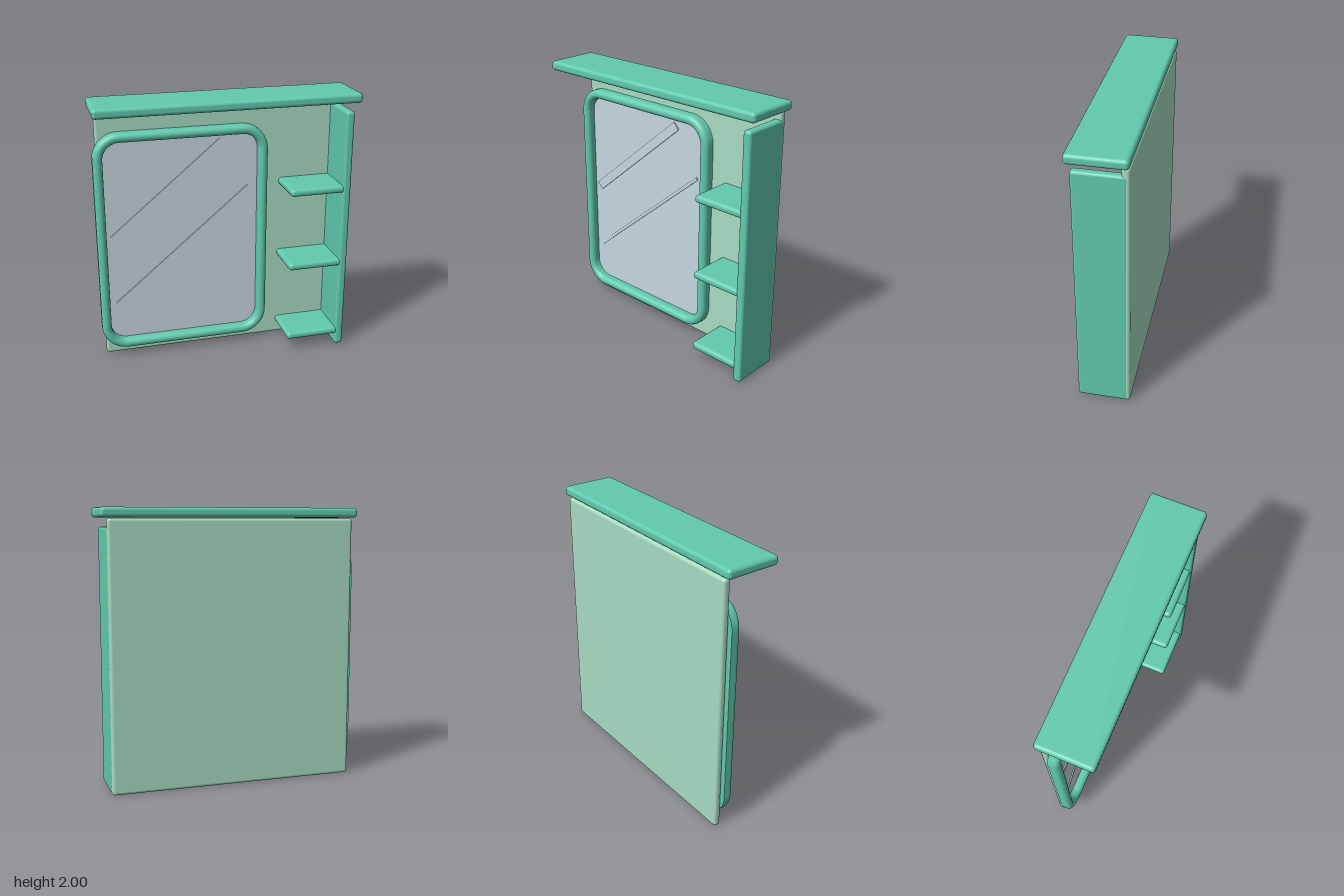
import * as THREE from 'three';
import { RoundedBoxGeometry } from 'three/addons/geometries/RoundedBoxGeometry.js';
import { ParametricGeometry } from 'three/addons/geometries/ParametricGeometry.js';

const material = (name, color) => {
  const m = new THREE.MeshStandardMaterial({ color });
  m.name = name;
  return m;
};

export function createModel() {
  const group = new THREE.Group();
  const green = material('teal green', 0x61caae);
  const pale = material('pale green', 0xa8dbc2);
  const silver = material('mirror grey', 0xc6d6df);

  const add = (name, geometry, mat) => {
    const mesh = new THREE.Mesh(geometry, mat);
    mesh.name = name;
    group.add(mesh);
    return mesh;
  };
  // Soft-edged board given by its limits on each axis
  const board = (name, mat, [x0, x1], [y0, y1], [z0, z1], r) => {
    const mesh = add(name, new RoundedBoxGeometry(x1 - x0, y1 - y0, z1 - z0, 4, r), mat);
    mesh.position.set((x0 + x1) / 2, (y0 + y1) / 2, (z0 + z1) / 2);
  };

  // Boards
  board('backPanel', pale, [-0.905, 0.903], [0, 1.925], [-0.2, -0.145], 0.022);
  board('sidePanel', green, [0.843, 0.905], [0.003, 1.866], [-0.185, 0.175], 0.02);
  board('topShelf', green, [-0.948, 0.948], [1.93, 2], [-0.202, 0.202], 0.025);
  [0.117, 0.701, 1.286].forEach((y, i) =>
    board('shelf' + (i + 1), green, [0.451, 0.865], [y - 0.028, y + 0.028], [-0.165, 0.17], 0.025));

  // Rounded rectangle shared by the mirror and its frame, counterclockwise from the front
  const left = -0.899, right = 0.313, bottom = 0.097, top = 1.718, radius = 0.155;
  const corners = [[right, bottom], [right, top], [left, top], [left, bottom]]
    .map(([x, y]) => new THREE.Vector3(x, y, 0));
  const outline = new THREE.CurvePath();
  const towards = (a, b, d) => a.clone().add(b.clone().sub(a).setLength(d));
  corners.forEach((c, i) => {
    const prev = corners[(i + 3) % 4], next = corners[(i + 1) % 4];
    const handle = radius * (1 - 0.5523);
    const start = towards(c, prev, radius), end = towards(c, next, radius);
    outline.add(new THREE.LineCurve3(towards(prev, c, radius), start));
    outline.add(new THREE.CubicBezierCurve3(start, towards(c, prev, handle), towards(c, next, handle), end));
  });

  // Sweeps a profile, given as [outward offset, z] for v from 0 to 1, around the outline
  const sweep = (profile, steps) => new ParametricGeometry((u, v, target) => {
    const p = outline.getPoint(u), t = outline.getTangent(u);
    const [offset, z] = profile(v);
    target.set(p.x + t.y * offset, p.y - t.x * offset, z);
  }, 240, steps);

  // Frame: straight sides, half-round front and flat back
  const r = 0.035, middle = -0.104, back = -0.146;
  const side = middle - back, length = 2 * side + Math.PI * r;
  add('mirrorFrame', sweep(v => {
    const s = v * length;
    if (s < side) return [r, back + s];
    if (s > length - side) return [-r, back + length - s];
    const a = (s - side) / r;
    return [r * Math.cos(a), middle + r * Math.sin(a)];
  }, 20), green);
  add('mirrorFrameBack', sweep(v => [r * (2 * v - 1), back], 1), green);

  // Mirror glass
  const shape = new THREE.Shape(outline.getSpacedPoints(160).slice(0, -1).map(p => new THREE.Vector2(p.x, p.y)));
  const glass = add('mirrorGlass', new THREE.ExtrudeGeometry(shape, { depth: 0.007, bevelEnabled: false }), silver);
  glass.position.z = -0.1455;

  // Slanted reflection strips on the glass
  [[-0.4, 1.283, 1.075, 0.068], [-0.295, 0.848, 1.335, 0.023]].forEach(([x, y, len, width], i) => {
    const strip = add('reflectionStrip' + (i + 1), new THREE.BoxGeometry(len, width, 0.009), silver);
    strip.position.set(x, y, -0.1345);
    strip.rotation.z = THREE.MathUtils.degToRad(40);
  });

  return group;
}
